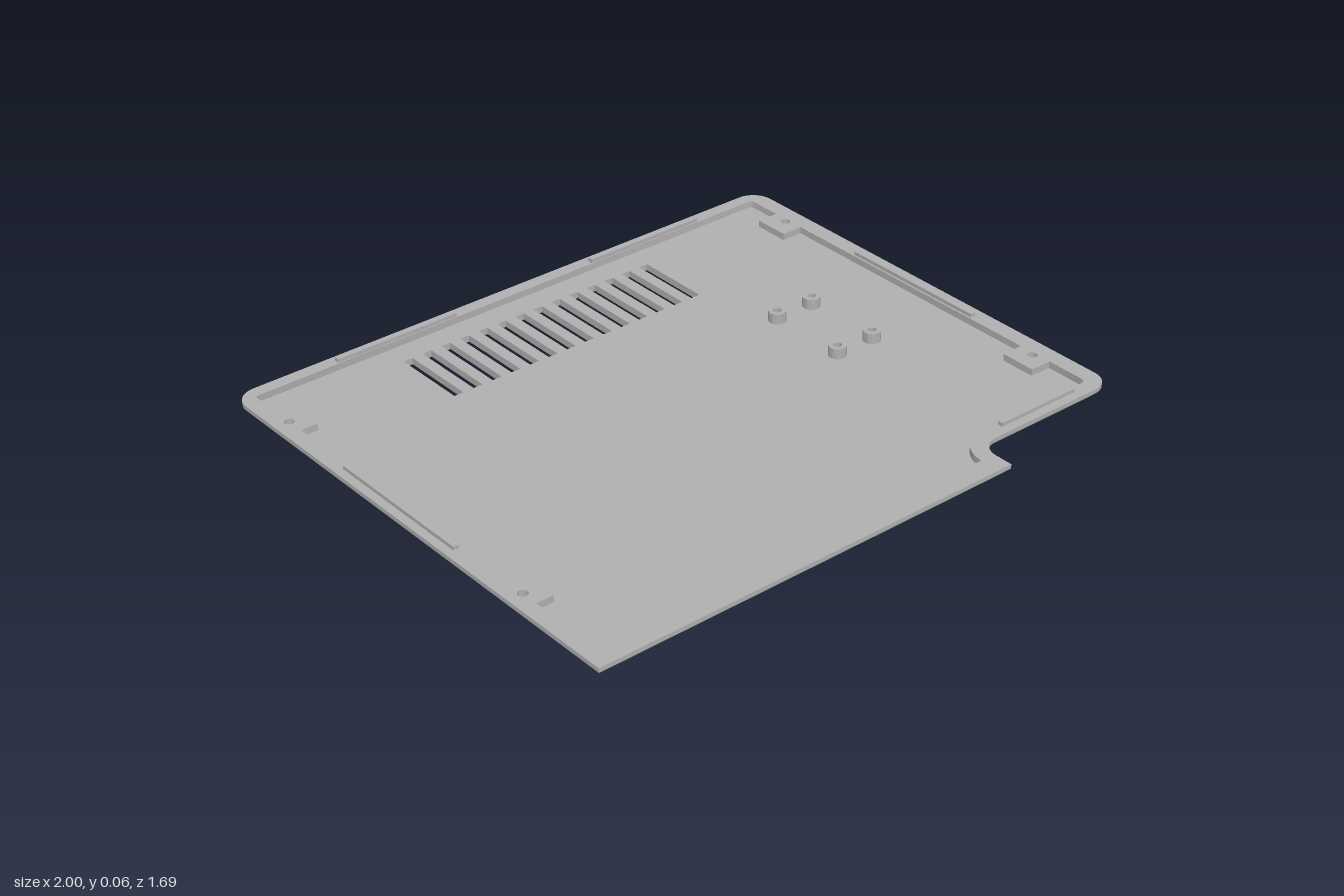
import * as THREE from 'three';
import { mergeGeometries, toCreasedNormals } from 'three/addons/utils/BufferGeometryUtils.js';

const CHAMFER = 0.03, FLOOR = 0.022, RIM = 0.044, TOP = 0.056;

// Loop of [x, z] points from right-angled corners [x, z, radius]
function roundedLoop(corners, steps = 10) {
  const pts = [], n = corners.length;
  corners.forEach(([x, z, r = 0], i) => {
    if (!r) { pts.push([x, z]); return; }
    const p = new THREE.Vector2(x, z);
    const [ax, az] = corners[(i + n - 1) % n], [bx, bz] = corners[(i + 1) % n];
    const a = new THREE.Vector2(ax, az).sub(p).normalize();
    const b = new THREE.Vector2(bx, bz).sub(p).normalize();
    for (let k = 0; k <= steps; k++) {
      const t = (k / steps) * Math.PI / 2;
      const u = r * (1 - Math.sin(t)), v = r * (1 - Math.cos(t));
      pts.push([x + a.x * u + b.x * v, z + a.y * u + b.y * v]);
    }
  });
  return pts;
}

function circle(cx, cz, r, n = 24) {
  return Array.from({ length: n }, (_, i) => {
    const t = (i / n) * Math.PI * 2;
    return [cx + r * Math.cos(t), cz + r * Math.sin(t)];
  });
}

// Flat horizontal face with holes, facing up or down
function face(loop, holes, y, up) {
  const s = up ? -1 : 1;
  const flat = l => l.map(([x, z]) => new THREE.Vector2(x, s * z));
  const shape = new THREE.Shape(flat(loop));
  shape.holes = holes.map(h => new THREE.Path(flat(h)));
  const g = new THREE.ShapeGeometry(shape).rotateX(s * Math.PI / 2).translate(0, y, 0).toNonIndexed();
  g.deleteAttribute('uv');
  return g;
}

// Wall between two matching loops; inward walls line an opening
function wall(low, y0, high, y1, inward = false) {
  const a = inward ? [...low].reverse() : low, b = inward ? [...high].reverse() : high;
  const pos = [], n = a.length;
  for (let i = 0; i < n; i++) {
    const j = (i + 1) % n;
    const p0 = [a[i][0], y0, a[i][1]], p1 = [a[j][0], y0, a[j][1]];
    const q0 = [b[i][0], y1, b[i][1]], q1 = [b[j][0], y1, b[j][1]];
    pos.push(...p0, ...q0, ...p1, ...q0, ...q1, ...p1);
  }
  const g = new THREE.BufferGeometry();
  g.setAttribute('position', new THREE.Float32BufferAttribute(pos, 3));
  g.computeVertexNormals();
  return toCreasedNormals(g, 0.5);
}

// Outer contour with the front right notch, inset by d
const outer = d => roundedLoop([
  [-1 + d, -0.847 + d, 0.07 - d], [1 - d, -0.847 + d, 0.07 - d],
  [1 - d, 0.722 - d, 0.065 - d], [0.46 - d, 0.722 - d, 0.065 + d],
  [0.46 - d, 0.847 - d], [-1 + d, 0.847 - d],
]);

// Inner contour of the rim, stepping around the four screw pads
const inner = roundedLoop([
  [-0.95, -0.805, 0.015], [0.945, -0.805, 0.015],
  [0.945, -0.685], [0.873, -0.685], [0.873, -0.567], [0.945, -0.567],
  [0.945, 0.41], [0.873, 0.41], [0.873, 0.526], [0.945, 0.526],
  [0.945, 0.672, 0.02], [0.41, 0.672, 0.107], [0.41, 0.78], [-0.95, 0.78],
  [-0.95, 0.526], [-0.893, 0.526], [-0.893, 0.41], [-0.95, 0.41],
  [-0.95, -0.567], [-0.893, -0.567], [-0.893, -0.685], [-0.95, -0.685],
]);

export function createModel() {
  const model = new THREE.Group();
  model.name = 'bottomCover';
  const grey = new THREE.MeshStandardMaterial({ color: 0xb0b0b0 });
  grey.name = 'grey plastic';
  const add = (name, geometry, x = 0, y = 0, z = 0) => {
    const mesh = new THREE.Mesh(geometry, grey);
    mesh.name = name;
    mesh.position.set(x, y, z);
    model.add(mesh);
  };

  // Vent slots and screw holes
  const slots = Array.from({ length: 14 }, (_, i) => {
    const x = -0.472 + i * 0.0689, w = 0.016;
    return [[x - w, -0.724], [x + w, -0.724], [x + w, -0.469], [x - w, -0.469]];
  });
  const screws = [], bores = [];
  for (const z of [-0.627, 0.468]) {
    for (const x of [-0.95, 0.934]) {
      screws.push(circle(x, z, 0.015));
      bores.push(circle(Math.sign(x) * 0.938, z, 0.028));
    }
  }

  // Tray: chamfered underside, outer wall, floor and rim
  const base = outer(CHAMFER), edge = outer(0);
  add('underside', face(base, [...slots, ...bores], 0, false));
  add('chamfer', wall(base, 0, edge, CHAMFER));
  add('outerWall', wall(edge, CHAMFER, edge, RIM));
  add('floor', face(inner, slots, FLOOR, true));
  add('innerWall', wall(inner, FLOOR, inner, RIM, true));
  add('rimTop', face(edge, [inner, ...screws], RIM, true));
  add('ventSlotWalls', mergeGeometries(slots.map(s => wall(s, 0, s, FLOOR, true))));

  // Counterbored screw holes
  add('screwHoles', mergeGeometries(screws.flatMap((s, i) => [
    wall(bores[i], 0, bores[i], FLOOR, true),
    face(bores[i], [s], FLOOR, false),
    wall(s, FLOOR, s, RIM, true),
  ])));

  // Locating ridges on the rim: [x0, x1, z0, z1]
  const ridges = [
    [-0.66, -0.232, -0.827, -0.808], [0.288, 0.717, -0.827, -0.808],
    [-0.973, -0.955, -0.322, 0.195], [0.951, 0.969, -0.322, 0.195],
    [0.58, 0.878, 0.676, 0.693],
  ];
  for (const [x0, x1, z0, z1] of ridges) {
    const h = TOP - RIM + 0.004;
    add('locatingRidge', new THREE.BoxGeometry(x1 - x0, h, z1 - z0),
      (x0 + x1) / 2, TOP - h / 2, (z0 + z1) / 2);
  }

  // Hollow standoffs
  const profile = [[0.028, FLOOR], [0.028, TOP], [0.013, TOP], [0.013, FLOOR]]
    .map(([r, y]) => new THREE.Vector2(r, y));
  const standoff = toCreasedNormals(new THREE.LatheGeometry(profile, 28), 0.6);
  for (const x of [0.52, 0.659]) for (const z of [-0.199, 0.07]) add('standoff', standoff, x, 0, z);

  return model;
}
